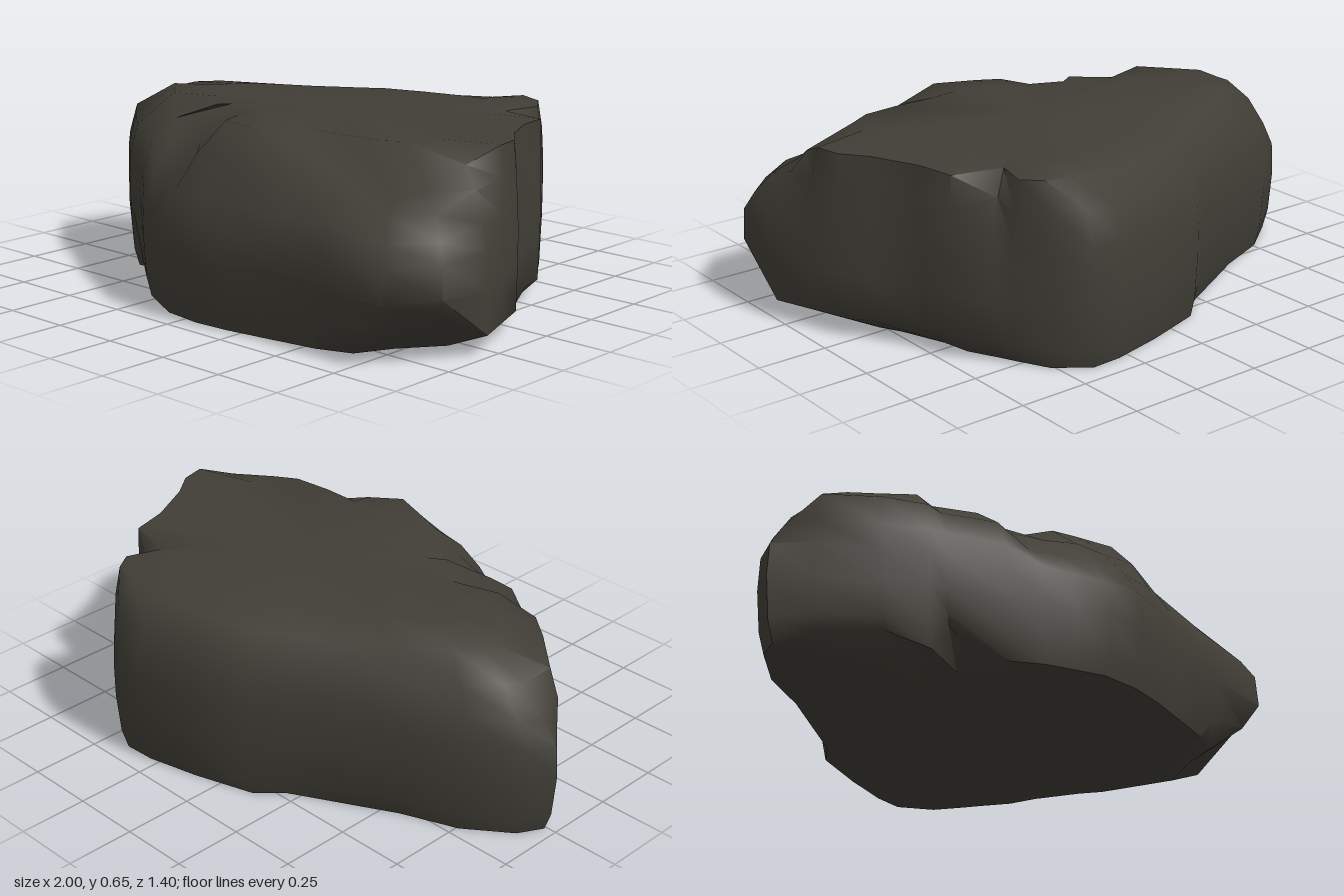
import * as THREE from 'three';
import { toCreasedNormals } from 'three/addons/utils/BufferGeometryUtils.js';

// Plan outline at the widest height, and the matching top rim: [x, z, rimX, rimZ]
const OUTLINE = [
  [-1, -0.01, -0.73, -0.02], [-0.95, -0.1, -0.72, -0.08], [-0.79, -0.22, -0.66, -0.15],
  [-0.6, -0.31, -0.5, -0.24], [-0.48, -0.38, -0.38, -0.3], [-0.22, -0.51, -0.17, -0.43],
  [-0.13, -0.58, -0.08, -0.49], [0.1, -0.65, 0.12, -0.55], [0.3, -0.695, 0.3, -0.59],
  [0.42, -0.7, 0.43, -0.6], [0.52, -0.61, 0.52, -0.57], [0.6, -0.5, 0.57, -0.5],
  [0.64, -0.44, 0.53, -0.37], [0.72, -0.33, 0.71, -0.33], [0.75, -0.22, 0.74, -0.2],
  [0.84, -0.05, 0.82, -0.04], [0.9, 0.03, 0.89, 0.05], [0.95, 0.17, 0.91, 0.14],
  [1, 0.31, 0.87, 0.27], [0.99, 0.52, 0.83, 0.4], [0.87, 0.66, 0.73, 0.46],
  [0.6, 0.66, 0.54, 0.48], [0.37, 0.665, 0.35, 0.48], [0.2, 0.69, 0.19, 0.5],
  [0.06, 0.7, 0.04, 0.45], [-0.1, 0.68, -0.05, 0.42], [-0.2, 0.63, -0.1, 0.31],
  [-0.3, 0.58, -0.34, 0.29], [-0.4, 0.5, -0.38, 0.35], [-0.57, 0.38, -0.5, 0.24],
  [-0.62, 0.35, -0.53, 0.21], [-0.74, 0.25, -0.62, 0.12], [-0.9, 0.1, -0.7, 0.05],
];
const CENTRE = [0.15, 0];

// Local chips, by outline point: raised base edge, raised lower flank, trimmed foot, lowered rim
const BASE_LIFT = { 29: 0.11, 30: 0.01, 31: 0.06, 32: 0.05 };
const FLANK_LIFT = { 19: 0.1, 20: 0.05, 29: 0.07, 31: 0.04, 32: 0.03 };
const TRIM = { 3: 0.97, 4: 0.96, 5: 0.97, 19: 0.88, 20: 0.89, 21: 0.96, 29: 0.95 };
const RIM_DROP = {
  0: 0.02, 1: 0.02, 2: 0.02, 3: 0.03, 4: 0.03, 5: 0.035, 6: 0.035, 7: 0.03, 8: 0.02,
  17: -0.005, 18: 0.04, 19: 0.11, 20: 0.14, 21: 0.11, 22: 0.04, 27: 0.03, 28: 0.05, 29: 0.04,
};

// Ring near the ground: inset all round, squeezed in under the right-hand overhang
function baseRing(inset, y, squeeze, lift, trim) {
  return OUTLINE.map(([x, z], i) => {
    const s = 1 - trim * (1 - (TRIM[i] ?? 1));
    const px = x > 0.5 ? 0.5 + (x - 0.5) * squeeze : x * inset;
    return [px * s, y + (lift[i] ?? 0), z * inset * s];
  });
}

// Ring on the flank: t moves it from the outline to the top rim
function flankRing(t, y) {
  return OUTLINE.map(([x, z, rx, rz], i) => {
    const steep = i >= 30 ? 3 : (i >= 3 && i <= 11) || i >= 28 ? 1.8 : 1;
    const k = Math.pow(t, steep);
    const wobble = t < 1 ? 0.008 * Math.sin(i * 2.3 + y * 9) : 0.006 * Math.sin(i * 0.9);
    return [x + (rx - x) * k, y + wobble - t * (RIM_DROP[i] ?? 0), z + (rz - z) * k];
  });
}

// Ring shrunk towards the centre, for closing the top and the bottom
function shrink(ring, s, y) {
  return ring.map(([x, , z]) => [
    CENTRE[0] + (x - CENTRE[0]) * s, y, CENTRE[1] + (z - CENTRE[1]) * s,
  ]);
}

// Skin a stack of rings, skipping the collapsed triangles at both poles
function skin(rings) {
  const n = OUTLINE.length;
  const index = [];
  for (let r = 0; r < rings.length - 1; r++) {
    for (let i = 0; i < n; i++) {
      const a = r * n + i, b = r * n + (i + 1) % n;
      const c = a + n, d = b + n;
      if (r < rings.length - 2) index.push(a, c, d);
      if (r > 0) index.push(a, d, b);
    }
  }
  const geometry = new THREE.BufferGeometry();
  geometry.setAttribute('position', new THREE.Float32BufferAttribute(rings.flat(2), 3));
  geometry.setIndex(index);
  return toCreasedNormals(geometry, 1.05);
}

export function createModel() {
  const stone = new THREE.MeshStandardMaterial({ color: 0x403e36 });
  stone.name = 'dark stone';

  const base = baseRing(0.96, 0, 0.66, BASE_LIFT, 1);
  const rim = flankRing(1, 0.637);
  const rings = [
    shrink(base, 0, 0),
    shrink(base, 0.85, 0),
    base,
    baseRing(0.985, 0.07, 0.99, FLANK_LIFT, 0.5),
    flankRing(0, 0.22),
    flankRing(0.03, 0.34),
    flankRing(0.23, 0.43),
    flankRing(0.56, 0.54),
    rim,
    shrink(rim, 0.75, 0.643),
    shrink(rim, 0, 0.65),
  ];

  const rock = new THREE.Mesh(skin(rings), stone);
  rock.name = 'rock';
  const group = new THREE.Group();
  group.name = 'boulder';
  group.add(rock);
  return group;
}
